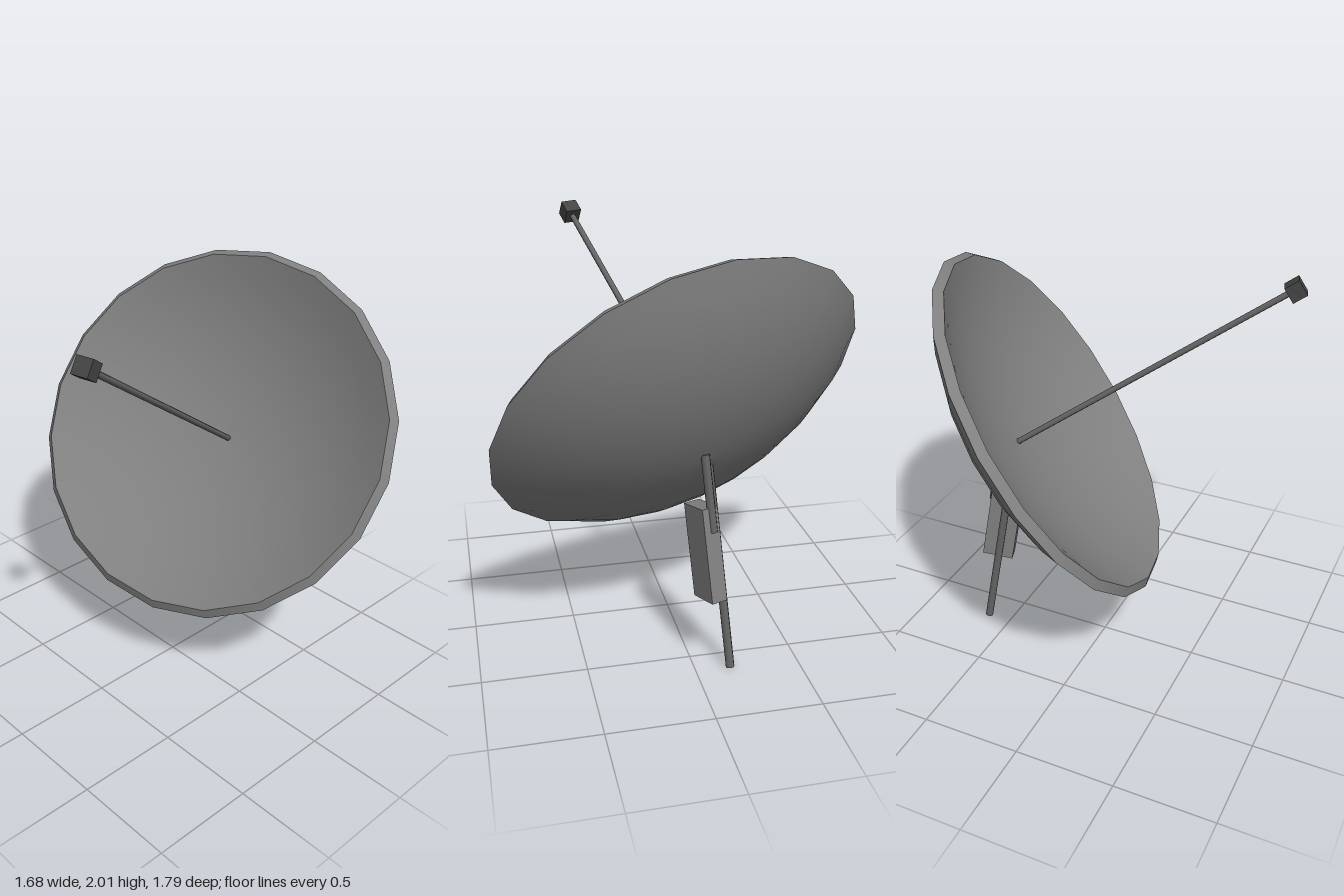
import * as THREE from 'three';

const V = (x, y, z) => new THREE.Vector3(x, y, z);

function material(name, color) {
  const m = new THREE.MeshStandardMaterial({ color });
  m.name = name;
  return m;
}

// Group whose local y is the given axis and whose local z leans toward the hint
function frame(name, origin, axis, hint) {
  const y = axis.clone().normalize();
  const z = hint.clone().addScaledVector(y, -hint.dot(y)).normalize();
  const x = new THREE.Vector3().crossVectors(y, z);
  const g = new THREE.Group();
  g.name = name;
  g.quaternion.setFromRotationMatrix(new THREE.Matrix4().makeBasis(x, y, z));
  g.position.copy(origin);
  return g;
}

function add(parent, name, geometry, mat) {
  const mesh = new THREE.Mesh(geometry, mat);
  mesh.name = name;
  parent.add(mesh);
  return mesh;
}

// Round bar between two points
function bar(parent, name, a, b, radius, mat) {
  const dir = b.clone().sub(a);
  const mesh = add(parent, name, new THREE.CylinderGeometry(radius, radius, dir.length(), 8), mat);
  mesh.position.copy(a).add(b).multiplyScalar(0.5);
  mesh.quaternion.setFromUnitVectors(V(0, 1, 0), dir.normalize());
  return mesh;
}

// Spherical bowl profile from its lowest point out to its edge
function bowlProfile(radius, depth, edgeY, steps = 8) {
  const sphere = (radius * radius + depth * depth) / (2 * depth);
  const end = Math.asin(radius / sphere);
  return Array.from({ length: steps + 1 }, (_, i) => {
    const a = (end * i) / steps;
    return new THREE.Vector2(sphere * Math.sin(a), edgeY - depth + sphere * (1 - Math.cos(a)));
  });
}

export function createModel() {
  const model = new THREE.Group();
  model.name = 'satelliteDish';
  const dishGrey = material('dish grey', 0x808080);
  const metal = material('dark metal', 0x646464);
  const black = material('receiver charcoal', 0x444444);

  // Dish: outer bowl, bevelled lip and inner bowl
  const axis = V(-0.79, 0.553, 0.263);
  const dish = frame('dish', V(0.265, 1.22, 0), axis, V(0.54, 0.83, -0.12));
  model.add(dish);
  const R = 0.937, lipR = 0.901, lipY = 0.037, sides = 20;
  const lathe = (name, pts) => add(dish, name, new THREE.LatheGeometry(pts, sides), dishGrey);
  lathe('dishBack', bowlProfile(R, 0.325, 0));
  lathe('dishLip', [new THREE.Vector2(R, 0), new THREE.Vector2(lipR, lipY)]);
  lathe('dishFace', bowlProfile(lipR, 0.275, lipY).reverse());

  // Receiver on its long arm
  bar(dish, 'receiverArm', V(0, -0.235, 0), V(0, 1.3, 0), 0.015, metal);
  add(dish, 'receiver', new THREE.BoxGeometry(0.08, 0.075, 0.08), black).position.y = 1.325;

  // Leaning mast and the shorter strut beside it
  const lean = V(-0.158, 1, 0.08);
  const along = (base, y) => base.clone().addScaledVector(lean, y);
  const mastFoot = V(0.628, 0.004, -0.168);
  const strutFoot = V(0.722, 0, -0.137);
  bar(model, 'mast', mastFoot, along(mastFoot, 1.0), 0.021, metal);
  bar(model, 'strut', along(strutFoot, 0.72), along(strutFoot, 1.08), 0.021, metal);

  // Control box fixed to the mast
  const mount = frame('controlBoxMount', V(0.563, 0.6, -0.056), lean, V(0.31, 0, 0.95));
  add(mount, 'controlBox', new THREE.BoxGeometry(0.16, 0.455, 0.08), dishGrey);
  model.add(mount);

  return model;
}
